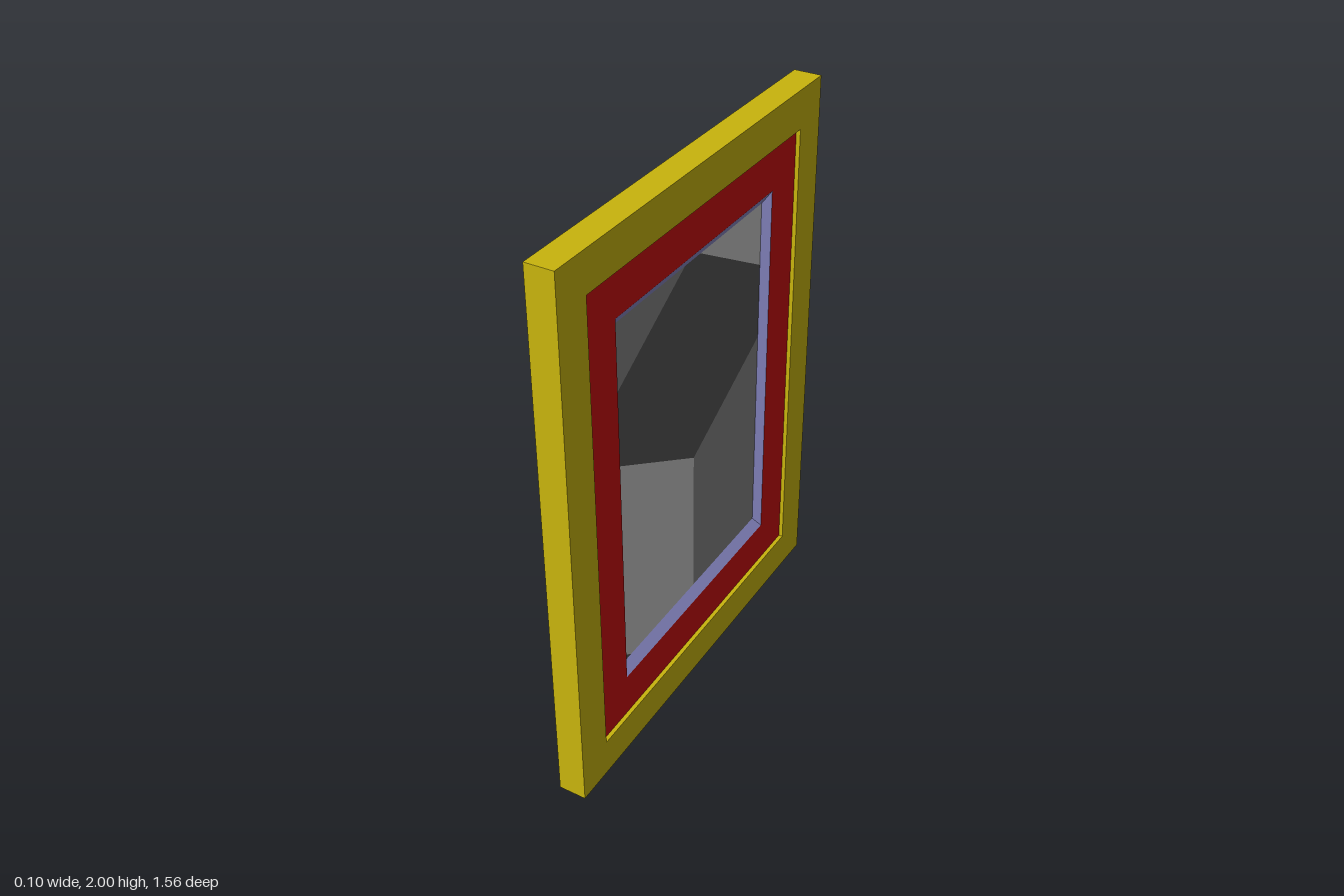
import * as THREE from 'three';

const MID = 1; // height of the picture centre

const paint = (name, color) => {
  const m = new THREE.MeshStandardMaterial({ color });
  m.name = name;
  return m;
};

// Corners of a centred upright rectangle, anticlockwise
const corners = (w, h) => [[-w, MID - h], [w, MID - h], [w, MID + h], [-w, MID + h]];
const toShape = (pts) => new THREE.Shape(pts.map(([u, v]) => new THREE.Vector2(u, v)));

// Rectangular ring between two half sizes, facing +x from x0 to x1
function ring(outer, inner, x0, x1) {
  const shape = toShape(corners(...outer));
  shape.holes.push(toShape(corners(...inner)));
  const geo = new THREE.ExtrudeGeometry(shape, { depth: x1 - x0, bevelEnabled: false });
  return geo.translate(0, 0, x0).rotateY(Math.PI / 2);
}

// Four mitred slopes from an outer rectangle at x1 down to an inner one at x0
function slopes(outer, inner, x0, x1) {
  const o = corners(...outer).map(([u, v]) => [u, v, x1]);
  const n = corners(...inner).map(([u, v]) => [u, v, x0]);
  const pos = [];
  for (let i = 0; i < 4; i++) {
    const j = (i + 1) % 4;
    for (const p of [o[i], o[j], n[j], o[i], n[j], n[i]]) pos.push(...p);
  }
  const geo = new THREE.BufferGeometry();
  geo.setAttribute('position', new THREE.Float32BufferAttribute(pos, 3));
  geo.computeVertexNormals();
  return geo.rotateY(Math.PI / 2);
}

export function createModel() {
  const gold = paint('gold frame', 0xc8b40d);
  const red = paint('red mat', 0xc80c0c);
  const lavender = paint('lavender bevel', 0x8c8cca);
  const olive = paint('olive backing', 0xbaaf4a);
  const light = paint('light grey', 0xc4c4c4);
  const mid = paint('mid grey', 0x828282);
  const dark = paint('dark grey', 0x555555);

  const model = new THREE.Group();
  model.name = 'pictureFrame';
  const add = (name, geo, mat) => {
    const mesh = new THREE.Mesh(geo, mat);
    mesh.name = name;
    model.add(mesh);
    return mesh;
  };

  // Frame, mat and sloping mat edge
  add('frame', ring([0.778, 1], [0.638, 0.86], -0.05, 0.05), gold);
  add('mat', ring([0.638, 0.86], [0.478, 0.7], 0.01, 0.035), red);
  add('matBevel', slopes([0.478, 0.7], [0.453, 0.66], 0.01, 0.035), lavender);

  // Backing board, set slightly into the rear of the frame
  add('backing', new THREE.BoxGeometry(0.048, 1.72, 1.276), olive).position.set(-0.018, MID, 0);

  // Picture: a block in three greys, drawn as flat faces
  const w = 0.453, bottom = 0.34, top = 1.66;
  const faces = [
    ['pictureBlockTop', dark, [[0.01, 0.9], [w, 1.145], [w, 1.43], [0.05, top], [-0.045, top], [-w, 1.415], [-w, 1.155]]],
    ['pictureBlockLeft', light, [[-0.41, bottom], [0.01, bottom], [0.01, 0.9], [-w, 1.155], [-w, 0.37]]],
    ['pictureBlockRight', mid, [[0.01, bottom], [w, bottom], [w, 1.145], [0.01, 0.9]]],
    ['pictureUpperLeft', mid, [[-w, 1.415], [-0.045, top], [-w, top]]],
    ['pictureUpperRight', light, [[w, 1.43], [w, top], [0.05, top]]],
    ['pictureCorner', dark, [[-w, bottom], [-0.41, bottom], [-w, 0.37]]],
  ];
  for (const [name, mat, pts] of faces) {
    add(name, new THREE.ShapeGeometry(toShape(pts)).rotateY(Math.PI / 2), mat).position.x = 0.01;
  }
  return model;
}
